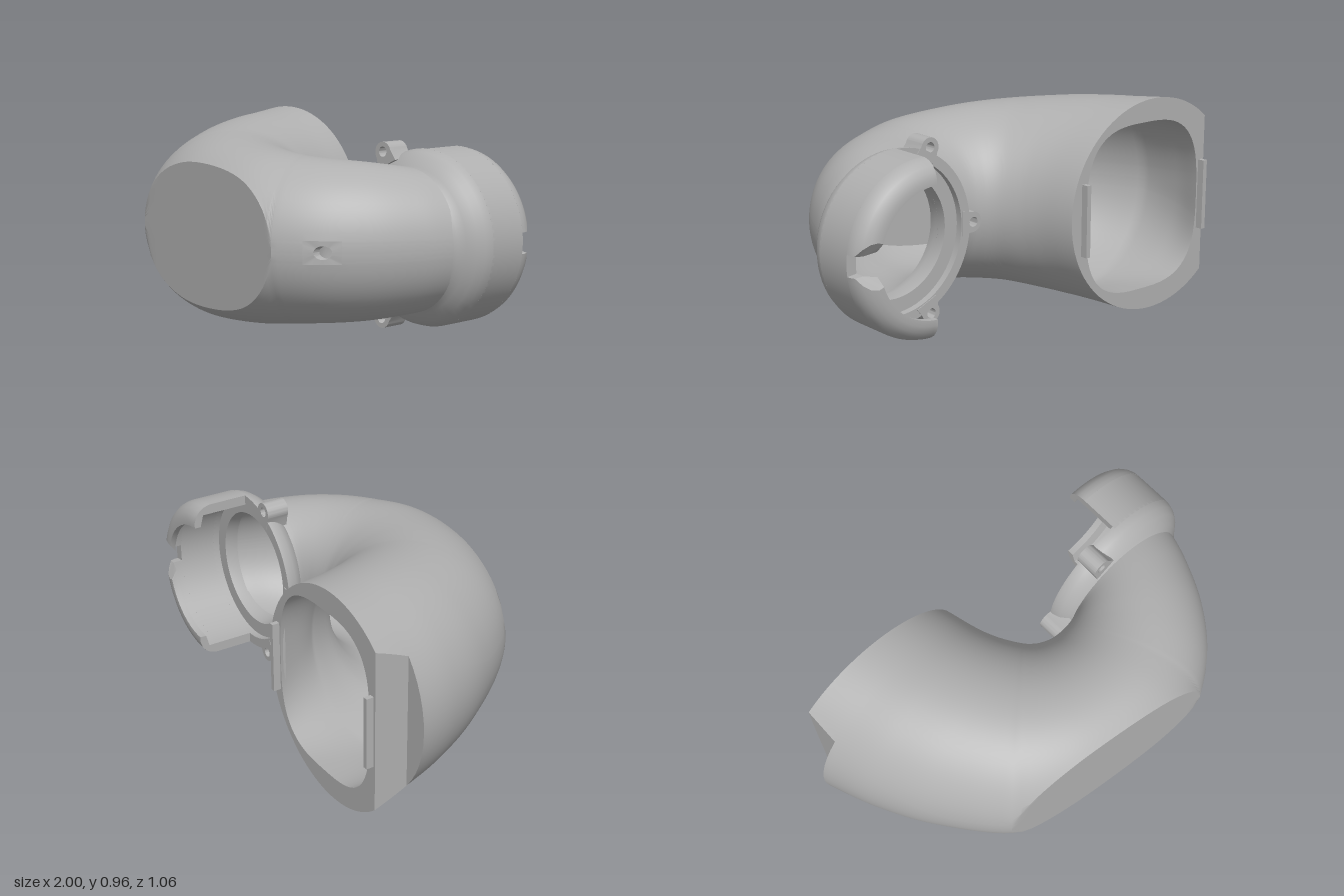
import * as THREE from 'three';
import { toCreasedNormals } from 'three/addons/utils/BufferGeometryUtils.js';

const V = (x, y, z) => new THREE.Vector3(x, y, z);
const MID = 0.48;                 // height of the duct's centre line
const AX = 0.62;                  // x of the round collar's axis
const SUB = 8, M = 12, K = 64;    // rings per key, points across the cut side, points on the rest
const lerp = THREE.MathUtils.lerp;

// Skin over closed rings of points, with optional missing quads and end caps
function loft(rings, { skip = () => false, cap = null } = {}) {
  const n = rings[0].length, pos = [], idx = [];
  rings.forEach(r => r.forEach(p => pos.push(p.x, p.y, p.z)));
  for (let i = 0; i < rings.length - 1; i++) for (let j = 0; j < n; j++) {
    if (skip(i, j)) continue;
    const a = i * n + j, b = i * n + (j + 1) % n;
    idx.push(a, b, a + n, b, b + n, a + n);
  }
  if (cap) {
    const last = (rings.length - 1) * n;
    for (const [a, b, c] of THREE.ShapeUtils.triangulateShape(cap, [])) {
      idx.push(a, c, b, last + a, last + b, last + c);
    }
  }
  const g = new THREE.BufferGeometry();
  g.setAttribute('position', new THREE.Float32BufferAttribute(pos, 3));
  g.setIndex(idx);
  return toCreasedNormals(g, 0.6);
}

// Duct sections: inner bend x, z | outer bend x, z | half height
const KEYS = [
  [-0.085, -0.5, -1.055, -0.5, 0.48], [-0.05, -0.36, -1.0, -0.345, 0.468],
  [-0.02, -0.28, -0.92, -0.13, 0.458], [0.01, -0.225, -0.79, 0.11, 0.443],
  [0.045, -0.175, -0.57, 0.385, 0.42], [0.075, -0.145, -0.3, 0.545, 0.403],
  [0.1, -0.13, 0, 0.615, 0.385], [0.13, -0.117, 0.25, 0.61, 0.37],
  [0.17, -0.11, 0.45, 0.525, 0.355], [0.21, -0.108, 0.62, 0.405, 0.345],
  [0.25, -0.11, 0.76, 0.235, 0.335], [0.29, -0.12, 0.86, 0.04, 0.32],
  [0.32, -0.14, 0.915, -0.12, 0.305],
];
const spline = pts => new THREE.CatmullRomCurve3(pts, false, 'catmullrom');
const innerBend = spline(KEYS.map(k => V(k[0], k[4], k[1])));   // y carries the half height
const outerBend = spline(KEYS.map(k => V(k[2], 0, k[3])));

// One ring of the duct; the flat front and the side recess limit the cosine
function section(s, lining, recess) {
  const t = s / (KEYS.length - 1);
  const I = innerBend.getPoint(t), O = outerBend.getPoint(t);
  let h = I.y, power = 1;
  I.y = O.y = 0;
  if (lining) {
    const k = Math.max(0, 1 - s / 2), d = O.clone().sub(I).normalize();
    I.addScaledVector(d, 0.035 + 0.05 * k);
    O.addScaledVector(d, -0.035 - 0.17 * k);
    h -= 0.035 + 0.065 * k;
    power = 1 - 0.35 * k;         // squarer towards the mouth
  }
  const C = I.clone().add(O).multiplyScalar(0.5), A = O.clone().sub(C);
  const front = p => p.z - 0.1373 * p.x - 0.4633 + (lining ? 0.035 : 0);
  let c = 1;
  if (front(O) > 0) c = -front(C) / (front(O) - front(C));
  if (recess) c = (-0.89 - C.x) / A.x;
  const base = lining || s < 1 ? 0.14 : Math.max(0.14, 0.695 - 0.25 * (s - 1));
  const th = Math.max(Math.acos(Math.min(1, c)), base);
  const bend = v => Math.sign(v) * Math.abs(v) ** power;
  const ring = [];
  for (let j = 0; j < M + K; j++) {
    const a = j < M ? lerp(-th, th, j / M) : lerp(th, 2 * Math.PI - th, (j - M) / K);
    const p = C.clone().addScaledVector(A, Math.min(c, bend(Math.cos(a))));
    p.y = MID + h * bend(Math.sin(a));
    ring.push(p);
  }
  return ring;
}

function ductRings(lining) {
  const rings = [];
  for (let i = 0; i <= (KEYS.length - 1) * SUB; i++) {
    const s = i / SUB;
    rings.push(section(s, lining, !lining && s <= 1));
    if (i === SUB) rings.push(section(s, lining, false));   // ledge above the recess
  }
  return rings;
}

// Solid swept round the collar axis from a closed (radius, z) profile
function arcSolid(profile, startAt, end, steps) {
  const rings = [];
  for (let i = 0; i <= steps; i++) rings.push(profile.map(([r, z]) => {
    const a = lerp(startAt(z), end, i / steps);
    return V(AX + r * Math.cos(a), MID + r * Math.sin(a), z);
  }));
  const full = Math.abs(end - startAt(0)) > 6;
  return loft(rings, { cap: full ? null : profile.map(p => new THREE.Vector2(...p)) });
}

export function createModel() {
  const model = new THREE.Group();
  model.name = 'elbowDuct';
  const grey = new THREE.MeshStandardMaterial({ color: 0xb0b0b0, side: THREE.DoubleSide });
  grey.name = 'plain grey';
  const add = (name, geo) => {
    const m = new THREE.Mesh(geo, grey);
    m.name = name;
    model.add(m);
    return m;
  };

  // Duct wall and lining, both open where the small hole passes
  const shell = ductRings(false), lining = ductRings(true);
  const i0 = 70, i1 = 76;
  const skip = (i, j) => i >= i0 && i < i1 && j < M;
  add('ductWall', loft(shell, { skip }));
  add('ductLining', loft(lining, { skip }));

  // Small round hole through the wall, parallel to z
  const border = rings => {
    const loop = [];
    for (let i = i0; i < i1; i++) loop.push(rings[i][0]);
    for (let j = 0; j < M; j++) loop.push(rings[i1][j]);
    for (let i = i1; i > i0; i--) loop.push(rings[i][M]);
    for (let j = M; j > 0; j--) loop.push(rings[i0][j]);
    return loop;
  };
  const circle = loop => {
    const zc = loop.reduce((sum, p) => sum + p.z, 0) / loop.length;
    return loop.map(p => {
      const f = 0.028 / Math.hypot(p.x - AX, p.y - MID);
      return V(lerp(AX, p.x, f), lerp(MID, p.y, f), lerp(zc, p.z, f));
    });
  };
  const outLoop = border(shell), inLoop = border(lining);
  add('sensorHole', loft([outLoop, circle(outLoop), circle(inLoop), inLoop]));

  // Flat rim of the large mouth
  const flat = ring => ring.map(p => new THREE.Vector2(p.x, p.y));
  const rim = new THREE.Shape(flat(shell[0]));
  rim.holes.push(new THREE.Path(flat(lining[0])));
  add('mouthRim', new THREE.ShapeGeometry(rim)).position.z = -0.5;

  // Two ribs standing on the rim
  for (const x of [-0.868, -0.153]) {
    add('mouthRib', new THREE.BoxGeometry(0.022, 0.32, 0.06)).position.set(x, MID, -0.503);
  }

  // Flared round collar
  add('collar', arcSolid([
    [0.28, -0.07], [0.288, -0.085], [0.315, -0.107], [0.35, -0.135], [0.37, -0.165], [0.38, -0.2],
    [0.38, -0.212], [0.335, -0.212], [0.335, -0.18], [0.27, -0.18], [0.265, -0.12],
  ], () => 0, 2 * Math.PI, 72));

  // Half sleeve with a lipped edge, notched in the middle
  const q = Math.PI / 2;
  add('sleeve', arcSolid([[0.38, -0.2], [0.38, -0.385], [0.335, -0.385], [0.335, -0.2]], () => -q, q, 40));
  const lip = [
    [0.38, -0.385], [0.379, -0.4], [0.372, -0.425], [0.356, -0.449], [0.333, -0.466], [0.305, -0.475],
    [0.28, -0.475], [0.28, -0.445], [0.335, -0.43], [0.335, -0.385],
  ];
  for (const side of [1, -1]) {
    const notch = z => side * (z > -0.43 ? 0.12 : lerp(0.12, 0.32, (-0.43 - z) / 0.045));
    add('sleeveLip', arcSolid(lip, notch, side * q, 24));
  }

  // Three screw bosses around the collar
  for (const deg of [115, 180, 245]) {
    const tab = new THREE.Shape();
    tab.moveTo(0.34, -0.055);
    tab.lineTo(0.385, -0.045);
    tab.absarc(0.395, 0, 0.045, -q, q, false);
    tab.lineTo(0.385, 0.045);
    tab.lineTo(0.34, 0.055);
    tab.holes.push(new THREE.Path().absarc(0.398, 0, 0.022, 0, 2 * Math.PI, true));
    const geo = new THREE.ExtrudeGeometry(tab, { depth: 0.105, bevelEnabled: false, curveSegments: 16 });
    const boss = add('screwBoss', toCreasedNormals(geo, 0.6));
    boss.position.set(AX, MID, -0.215);
    boss.rotation.z = THREE.MathUtils.degToRad(deg);
  }
  return model;
}
